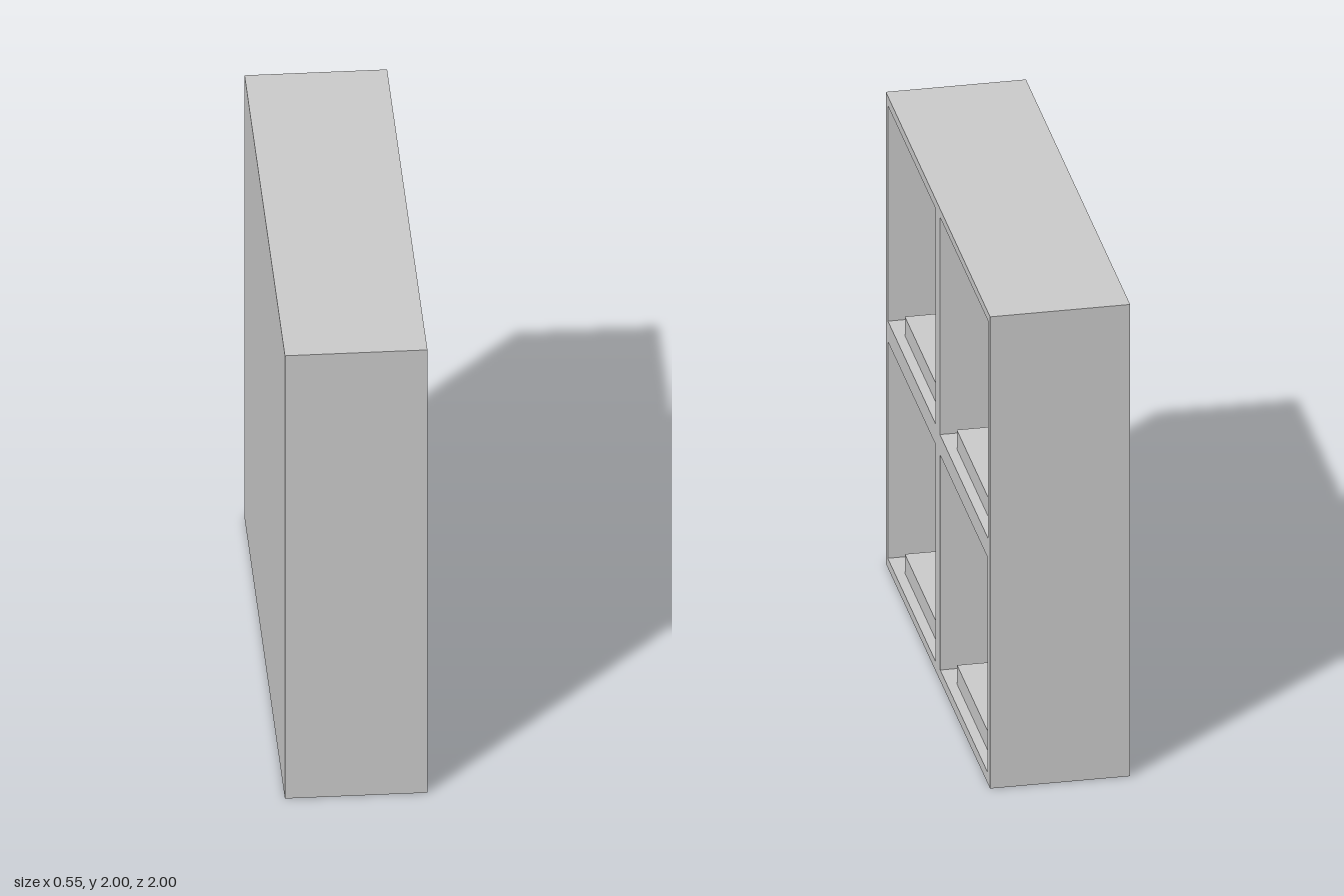
import * as THREE from 'three';

const HALF_DEPTH = 0.2725; // cabinet reaches this far along x
const FLOOR_X = -0.12;     // back wall of the compartments

// Compartments open toward +x: z range, y range, and the ledge inside (z range, top)
const CELLS = [
  { name: 'upperFront', z: [0.045, 0.96], y: [1.047, 1.96], ledge: [0.182, 0.825], top: 1.127 },
  { name: 'upperBack', z: [-0.96, -0.038], y: [1.042, 1.964], ledge: [-0.826, -0.171], top: 1.122 },
  { name: 'lowerFront', z: [0.043, 0.963], y: [0.04, 0.96], ledge: [0.182, 0.825], top: 0.12 },
  { name: 'lowerBack', z: [-0.954, -0.043], y: [0.046, 0.957], ledge: [-0.82, -0.177], top: 0.127 },
];

// Box given by its minimum and maximum along each axis
function boxBetween(name, x, y, z, material) {
  const mesh = new THREE.Mesh(
    new THREE.BoxGeometry(x[1] - x[0], y[1] - y[0], z[1] - z[0]), material);
  mesh.position.set((x[0] + x[1]) / 2, (y[0] + y[1]) / 2, (z[0] + z[1]) / 2);
  mesh.name = name;
  return mesh;
}

// Rectangle outline in the z-y plane (shape x runs along -z)
function rectangle(PathType, z, y) {
  return new PathType([
    new THREE.Vector2(-z[1], y[0]), new THREE.Vector2(-z[0], y[0]),
    new THREE.Vector2(-z[0], y[1]), new THREE.Vector2(-z[1], y[1]),
  ]);
}

export function createModel() {
  const model = new THREE.Group();
  model.name = 'cubbyShelf';
  const material = new THREE.MeshStandardMaterial({ color: 0xcccccc });

  // Solid back
  model.add(boxBetween('backPanel', [-HALF_DEPTH, FLOOR_X], [0, 2], [-1, 1], material));

  // Outer walls and dividers, extruded toward the open side
  const outline = rectangle(THREE.Shape, [-1, 1], [0, 2]);
  for (const c of CELLS) outline.holes.push(rectangle(THREE.Path, c.z, c.y));
  const frameGeometry = new THREE.ExtrudeGeometry(outline, {
    depth: HALF_DEPTH - FLOOR_X, bevelEnabled: false,
  });
  frameGeometry.rotateY(Math.PI / 2).translate(FLOOR_X, 0, 0);
  const frame = new THREE.Mesh(frameGeometry, material);
  frame.name = 'frame';
  model.add(frame);

  // Low ledge standing on the floor of each compartment
  for (const c of CELLS) {
    model.add(boxBetween(c.name + 'Ledge', [-0.08, 0.234], [c.y[0], c.top], c.ledge, material));
  }
  return model;
}
